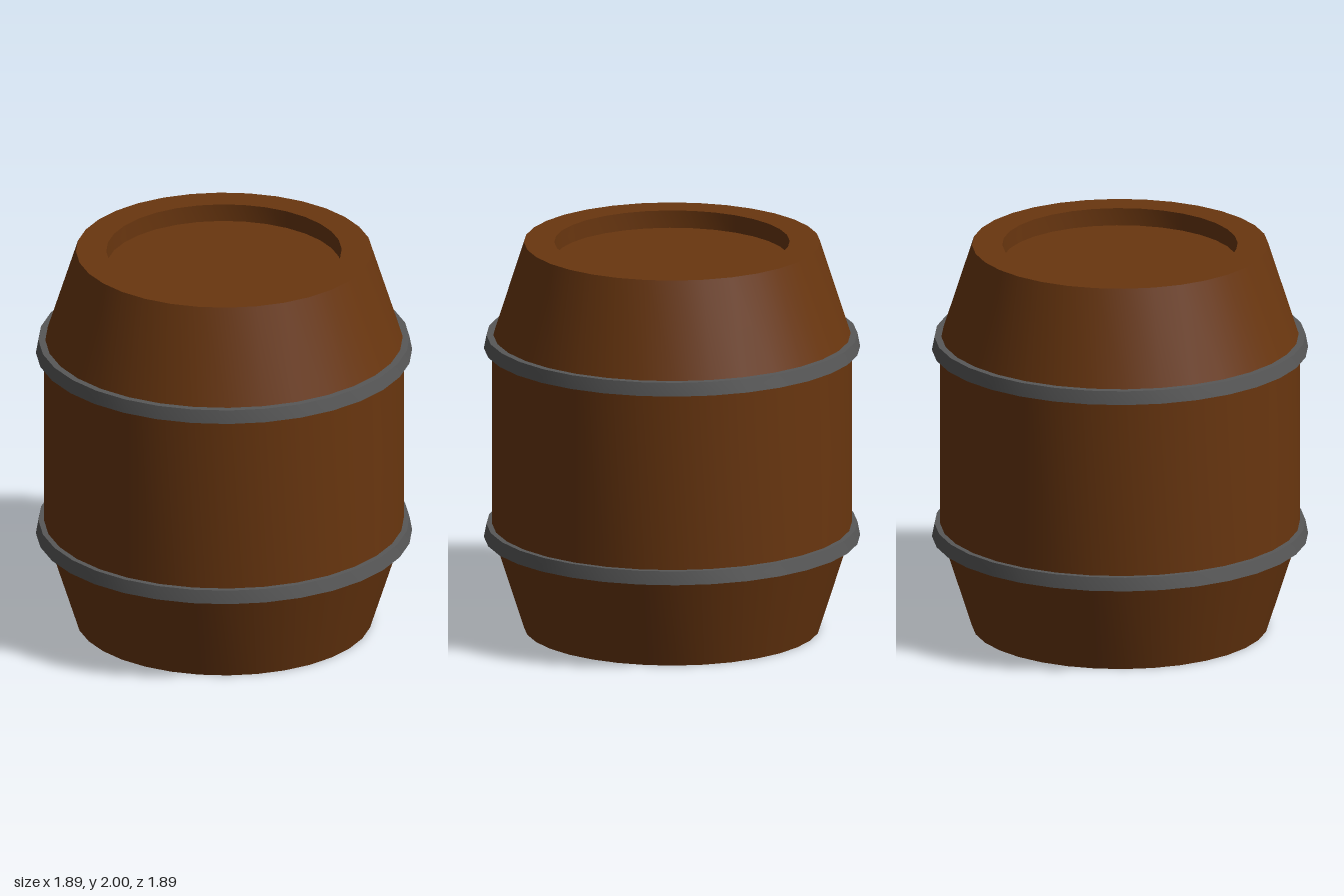
import * as THREE from 'three';
import { toCreasedNormals } from 'three/addons/utils/BufferGeometryUtils.js';

const SIDES = 32;
const RECESS_RADIUS = 0.59;
const RECESS_DEPTH = 0.09;

const wood = new THREE.MeshStandardMaterial({ color: 0x69360f });
const iron = new THREE.MeshStandardMaterial({ color: 0x585858 });

// Revolve an [r, y] profile; corners stay sharp, the round stays smooth.
function turned(name, profile, material) {
  const points = profile.map(([r, y]) => new THREE.Vector2(r, y));
  const geometry = toCreasedNormals(new THREE.LatheGeometry(points, SIDES), 0.25);
  const mesh = new THREE.Mesh(geometry, material);
  mesh.name = name;
  return mesh;
}

// Flat disc set into one end of the barrel.
function head(name, y, facing) {
  const geometry = new THREE.CircleGeometry(RECESS_RADIUS, SIDES);
  geometry.rotateX(-facing * Math.PI / 2);
  const mesh = new THREE.Mesh(geometry, wood);
  mesh.name = name;
  mesh.position.y = y;
  return mesh;
}

// Slightly tapered iron band, wider at its lower edge.
function hoop(name, y) {
  const band = turned(name, [
    [0.87, 0], [0.943, 0], [0.93, 0.068], [0.87, 0.068], [0.87, 0],
  ], iron);
  band.position.y = y;
  return band;
}

export function createModel() {
  const barrel = new THREE.Group();
  barrel.name = 'barrel';

  // Staves: recess wall, rim, tapered ends and straight middle
  barrel.add(turned('staves', [
    [RECESS_RADIUS, RECESS_DEPTH], [RECESS_RADIUS, 0], [0.742, 0],
    [0.902, 0.5], [0.902, 1.5],
    [0.742, 2], [RECESS_RADIUS, 2], [RECESS_RADIUS, 2 - RECESS_DEPTH],
  ], wood));

  barrel.add(head('topHead', 2 - RECESS_DEPTH, 1), head('bottomHead', RECESS_DEPTH, -1));
  barrel.add(hoop('lowerHoop', 0.472), hoop('upperHoop', 1.452));
  return barrel;
}
